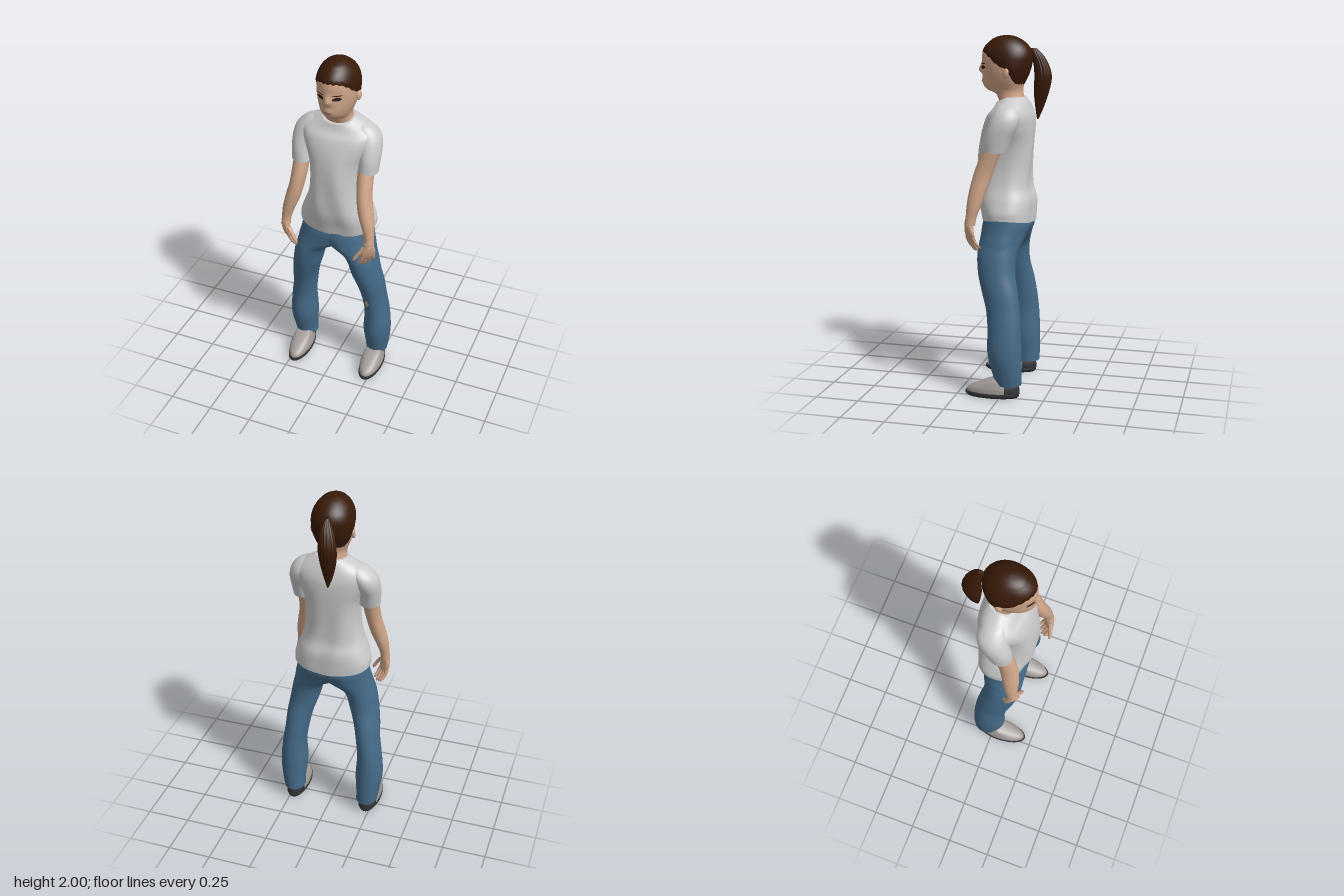
import * as THREE from 'three';

const mat = (name, color) => Object.assign(new THREE.MeshStandardMaterial({ color }), { name });

// Smooth curve through rows of [key, ...values]
function curve(rows) {
  const n = rows[0].length - 1;
  return new THREE.CubicInterpolant(rows.map(r => r[0]), rows.flatMap(r => r.slice(1)), n);
}

// Body surface from horizontal sections [y, x, z, halfWidth, frontDepth, backDepth];
// a power below 1 makes the sections boxier
function surface(rows, bump = () => 0, power = 1) {
  const c = curve(rows);
  const shape = t => Math.sign(t) * Math.abs(t) ** power;
  const at = (a, y, k = 1) => {
    const [x, z, rx, rf, rb] = c.evaluate(y);
    const px = x + k * rx * shape(Math.cos(a));
    const s = shape(Math.sin(a));
    return new THREE.Vector3(px, y, z + k * (s > 0 ? rf : rb) * s + k * bump(px, y, s));
  };
  // point on the front side of a round section at a given x and y
  at.front = (x, y) => {
    const [cx, , rx] = c.evaluate(y);
    return at(Math.acos(THREE.MathUtils.clamp((x - cx) / rx, -1, 1)), y);
  };
  at.y0 = rows[0][0];
  at.y1 = rows[rows.length - 1][0];
  return at;
}

// Surface with every point adjusted by a rule
function warp(s, rule) {
  const at = (a, y, k) => {
    const p = s(a, y, k);
    rule(p);
    return p;
  };
  return Object.assign(at, { y0: s.y0, y1: s.y1 });
}

// Mesh over a grid of points; wrapped grids share their seam
function grid(name, material, point, nu, levels, wrap = true) {
  const pos = [], idx = [], cols = wrap ? nu : nu + 1;
  for (const v of levels) {
    for (let i = 0; i < cols; i++) pos.push(...point(i / nu, v).toArray());
  }
  for (let j = 0; j < levels.length - 1; j++) {
    for (let i = 0; i < nu; i++) {
      const a = j * cols + i, b = j * cols + (i + 1) % cols;
      idx.push(a, a + cols, b, b, a + cols, b + cols);
    }
  }
  const g = new THREE.BufferGeometry();
  g.setAttribute('position', new THREE.Float32BufferAttribute(pos, 3));
  g.setIndex(idx);
  g.computeVertexNormals();
  const m = new THREE.Mesh(g, material);
  m.name = name;
  return m;
}

const steps = n => Array.from({ length: n + 1 }, (_, i) => i / n);

// Closed loft with flat, sharp-edged ends
function loft(name, material, s, nu = 32, nv = 32) {
  const mid = steps(nv).map(t => [(1 - Math.cos(Math.PI * t)) / 2, 1]);
  const levels = [[0, 0], [0, 1], ...mid, [1, 1], [1, 0]];
  return grid(name, material, (u, [t, k]) => s(u * Math.PI * 2, s.y0 + (s.y1 - s.y0) * t, k), nu, levels);
}

// Thin oval lying on the front of a surface
function patch(name, material, s, x, y, w, h) {
  const point = (u, v) => {
    const a = u * Math.PI * 2, p = s.front(x + w * v * Math.cos(a), y + h * v * Math.sin(a));
    p.z += 0.003;
    return p;
  };
  return grid(name, material, point, 24, steps(4));
}

export function createModel() {
  const skin = mat('skin', 0xcfa588), hair = mat('hair', 0x381a07), shirt = mat('shirt', 0xcbcbcb);
  const denim = mat('denim', 0x456b89), shoe = mat('shoe', 0xa39c99), sole = mat('sole', 0x343436);
  const eye = mat('eye', 0x2c1e1a), lip = mat('lip', 0xb07c6a);
  const model = new THREE.Group();
  model.name = 'girl';

  // Head and neck, with nose, eye sockets and lips shaped on the face
  const bell = (d, w) => Math.exp(-d * d / (w * w));
  const face = (x, y, s) => s <= 0 ? 0 :
    0.023 * bell(x, 0.02) * bell(y - 1.81, y > 1.81 ? 0.032 : 0.018)
    - 0.005 * bell(Math.abs(x) - 0.045, 0.022) * bell(y - 1.828, 0.015)
    + 0.006 * bell(x, 0.028) * bell(y - 1.75, 0.016);
  const head = surface([
    [1.6, 0, -0.02, 0.088, 0.07, 0.08], [1.66, 0, 0, 0.078, 0.07, 0.078], [1.685, 0, 0, 0.075, 0.088, 0.072],
    [1.7, 0, 0, 0.076, 0.126, 0.07], [1.72, 0, 0, 0.083, 0.149, 0.072], [1.75, 0, 0, 0.095, 0.156, 0.083],
    [1.8, 0, 0, 0.107, 0.158, 0.102], [1.85, 0, 0, 0.11, 0.16, 0.115], [1.89, 0, 0, 0.107, 0.16, 0.117],
    [1.93, 0, 0.005, 0.094, 0.142, 0.108], [1.965, 0, 0.015, 0.07, 0.098, 0.085],
    [1.985, 0, 0.02, 0.044, 0.06, 0.055], [1.993, 0, 0.02, 0.022, 0.028, 0.027],
    [1.996, 0, 0.02, 0.0005, 0.0005, 0.0005]], face);
  model.add(loft('head', skin, head, 96, 90));
  for (const s of [-1, 1]) {
    model.add(patch('eye', eye, head, s * 0.045, 1.826, 0.021, 0.01));
    model.add(patch('eyebrow', hair, head, s * 0.047, 1.847, 0.024, 0.003));
    const ear = new THREE.Mesh(new THREE.SphereGeometry(1, 16, 12), skin);
    ear.name = 'ear';
    ear.scale.set(0.012, 0.028, 0.018);
    ear.position.set(s * 0.111, 1.797, 0.0);
    ear.rotation.set(-0.2, s * -0.3, 0);
    model.add(ear);
  }
  model.add(patch('mouth', lip, head, 0, 1.746, 0.025, 0.007));

  // Hair cap, from the hairline up to the crown
  const hairline = curve([[-1, 1.735], [-0.5, 1.745], [-0.1, 1.8], [0.1, 1.825], [0.35, 1.845],
    [0.6, 1.88], [0.85, 1.905], [1, 1.91]]);
  model.add(grid('hairCap', hair, (u, v) => {
    const a = u * Math.PI * 2, low = hairline.evaluate(Math.sin(a))[0] + 0.003 * Math.sin(a * 23);
    const p = head(a, low + (1.996 - low) * Math.sin(v * Math.PI / 2));
    const k = 1 + 0.06 * Math.min(1, 0.2 + v * 6);
    return p.set(p.x * k, p.y + 0.005 * v, p.z * (p.z > 0 ? 1 + (k - 1) * 0.3 : k));
  }, 96, steps(48)));

  // Ponytail with ribbed strands
  const tail = surface([
    [1.54, -0.02, -0.15, 0.004, 0.004, 0.004], [1.6, -0.025, -0.157, 0.022, 0.02, 0.022],
    [1.7, -0.028, -0.17, 0.042, 0.043, 0.042], [1.78, -0.026, -0.178, 0.047, 0.047, 0.047],
    [1.85, -0.02, -0.165, 0.038, 0.04, 0.04], [1.9, -0.012, -0.143, 0.025, 0.035, 0.032],
    [1.93, -0.01, -0.128, 0.01, 0.015, 0.015]]);
  const strands = (a, y, k = 1) => tail(a, y, k * (1 + 0.04 * Math.cos(a * 16)));
  model.add(loft('ponytail', hair, Object.assign(strands, { y0: tail.y0, y1: tail.y1 }), 96, 32));

  // T-shirt body with soft folds, a neckline dipping at the front and a hem raised at the sides
  const folds = (x, y, s) => 0.005 * s * Math.sin(x * 38 + y * 9) * bell(y - 1.2, 0.25);
  const body = surface([
    [0.97, 0, 0, 0.218, 0.143, 0.138], [1.02, 0, 0, 0.216, 0.152, 0.14], [1.1, 0, 0, 0.195, 0.172, 0.138],
    [1.16, 0, 0, 0.17, 0.179, 0.12], [1.25, 0, 0, 0.15, 0.181, 0.118], [1.35, 0, 0, 0.147, 0.176, 0.125],
    [1.42, 0, 0, 0.157, 0.166, 0.13], [1.5, 0, 0, 0.187, 0.147, 0.134], [1.56, 0, 0, 0.203, 0.122, 0.13],
    [1.6, 0, 0, 0.192, 0.098, 0.118], [1.635, 0, 0, 0.146, 0.083, 0.103], [1.665, 0, 0, 0.088, 0.073, 0.086]],
  folds, 0.83);
  model.add(loft('shirtBody', shirt, warp(body, p => {
    p.y -= 0.4 * Math.max(0, p.z) * THREE.MathUtils.smoothstep(p.y, 1.56, 1.665);
    p.y += 0.6 * p.x * p.x * (1 - THREE.MathUtils.smoothstep(p.y, 0.97, 1.1));
  }), 72, 60));

  for (const s of [-1, 1]) {
    // Trouser leg, widening into half of the hips; both halves meet at x = 0
    const leg = surface([
      [0.075, 0.228, -0.045, 0.062, 0.075, 0.073], [0.12, 0.232, -0.043, 0.066, 0.084, 0.077],
      [0.25, 0.235, -0.025, 0.079, 0.097, 0.095], [0.4, 0.232, -0.02, 0.07, 0.093, 0.094],
      [0.5, 0.218, -0.01, 0.069, 0.095, 0.095], [0.6, 0.204, 0.01, 0.075, 0.103, 0.1],
      [0.7, 0.18, 0.03, 0.084, 0.11, 0.1], [0.8, 0.154, 0.035, 0.092, 0.115, 0.108],
      [0.835, 0.133, 0.031, 0.103, 0.119, 0.112], [0.855, 0.11, 0.027, 0.122, 0.123, 0.116],
      [0.88, 0.082, 0.022, 0.146, 0.128, 0.121], [0.91, 0.055, 0.017, 0.165, 0.133, 0.128],
      [0.95, 0.025, 0.01, 0.187, 0.14, 0.138], [1.0, 0, 0, 0.206, 0.14, 0.13]]
      .map(([y, x, ...r]) => [y, x * s, ...r]));
    model.add(loft('jeansLeg', denim, warp(leg, p => { p.x = s * Math.max(-0.012, s * p.x); }), 64, 64));
    if (s > 0) model.add(patch('kneeTear', skin, leg, 0.205, 0.49, 0.012, 0.024));

    // Shoe: dark sole, pale upper, dark heel
    const foot = new THREE.Group();
    foot.name = 'shoe';
    foot.position.set(s > 0 ? 0.232 : -0.225, 0, s > 0 ? 0.045 : 0.052);
    foot.rotation.y = 0.03;
    const upper = surface([[0.022, 0, 0, 0.062, 0.152, 0.148], [0.05, 0, 0, 0.062, 0.136, 0.148],
      [0.075, 0, 0, 0.056, 0.088, 0.143], [0.1, 0, -0.01, 0.046, 0.035, 0.125], [0.115, 0, -0.03, 0.03, 0.01, 0.09]]);
    foot.add(loft('shoeUpper', shoe, upper, 40, 20));
    foot.add(loft('shoeSole', sole, surface([[0, 0, 0, 0.055, 0.146, 0.142], [0.012, 0, 0, 0.065, 0.158, 0.151],
      [0.028, 0, 0, 0.064, 0.156, 0.152]]), 40, 8));
    foot.add(grid('shoeHeel', sole, (u, v) => upper(Math.PI * (1.17 + 0.66 * u), 0.024 + 0.07 * v, 1.03),
      24, steps(10), false));
    model.add(foot);

    // The right arm hangs further out and further back
    const out = s > 0 ? 0 : 0.016, dx = s > 0 ? 0 : 0.01, dz = s > 0 ? 0 : -0.035;

    // Sleeve
    model.add(loft('sleeve', shirt, surface([
      [1.375, 0.182, 0.042, 0.058, 0.066, 0.066], [1.45, 0.186, 0.025, 0.059, 0.077, 0.076],
      [1.52, 0.177, 0.003, 0.067, 0.08, 0.088], [1.57, 0.16, -0.008, 0.07, 0.074, 0.085],
      [1.605, 0.14, -0.01, 0.064, 0.06, 0.07], [1.628, 0.12, -0.01, 0.05, 0.042, 0.048],
      [1.642, 0.1, -0.01, 0.015, 0.015, 0.015]]
      .map(([y, x, ...r]) => [y, s * (x + out * Math.min(1, (1.642 - y) / 0.08)), ...r])), 36, 30));

    // Arm
    model.add(loft('arm', skin, surface([
      [0.975, 0.244, 0.17, 0.027, 0.031, 0.03], [1.02, 0.241, 0.162, 0.027, 0.031, 0.03],
      [1.08, 0.23, 0.149, 0.035, 0.041, 0.038], [1.15, 0.211, 0.134, 0.042, 0.049, 0.046],
      [1.25, 0.19, 0.107, 0.042, 0.054, 0.052], [1.32, 0.183, 0.083, 0.044, 0.054, 0.052],
      [1.45, 0.178, 0.03, 0.045, 0.05, 0.05]].map(([y, x, z, ...r]) => {
      const f = Math.min(1, (1.45 - y) / 0.45);
      return [y, s * (x + out + dx * f), z + dz * f, ...r];
    })), 28, 36));

    // Hand: palm, four curled fingers and a thumb
    const hand = new THREE.Group();
    hand.name = 'hand';
    hand.position.set(s * (0.244 + out + dx), 0.99, 0.175 + dz);
    hand.rotation.y = s * -2.35;
    hand.add(loft('palm', skin, surface([
      [-0.1, 0, 0.014, 0.03, 0.008, 0.008], [-0.085, 0, 0.01, 0.041, 0.014, 0.014],
      [-0.05, 0, 0.002, 0.042, 0.018, 0.018], [-0.02, 0, 0, 0.033, 0.021, 0.021],
      [0.01, 0, 0, 0.026, 0.024, 0.024]]), 24, 16));
    const finger = (name, rows) => hand.add(loft(name, skin,
      surface(rows.map(([y, x, z, r]) => [y, x * s, z, r, r, r])), 12, 14));
    for (let i = 0; i < 4; i++) {
      const x = 0.031 - i * 0.021, len = [0.155, 0.165, 0.16, 0.145][i];
      finger('finger', [[-len, x * 1.1, 0.05, 0.003], [-len + 0.007, x * 1.1, 0.045, 0.008],
        [-0.115, x * 1.1, 0.022, 0.0105], [-0.08, x, 0.008, 0.011]]);
    }
    finger('thumb', [[-0.115, 0.075, 0.036, 0.003], [-0.107, 0.073, 0.034, 0.009],
      [-0.07, 0.056, 0.022, 0.012], [-0.025, 0.024, 0.006, 0.015]]);
    model.add(hand);
  }
  return model;
}
